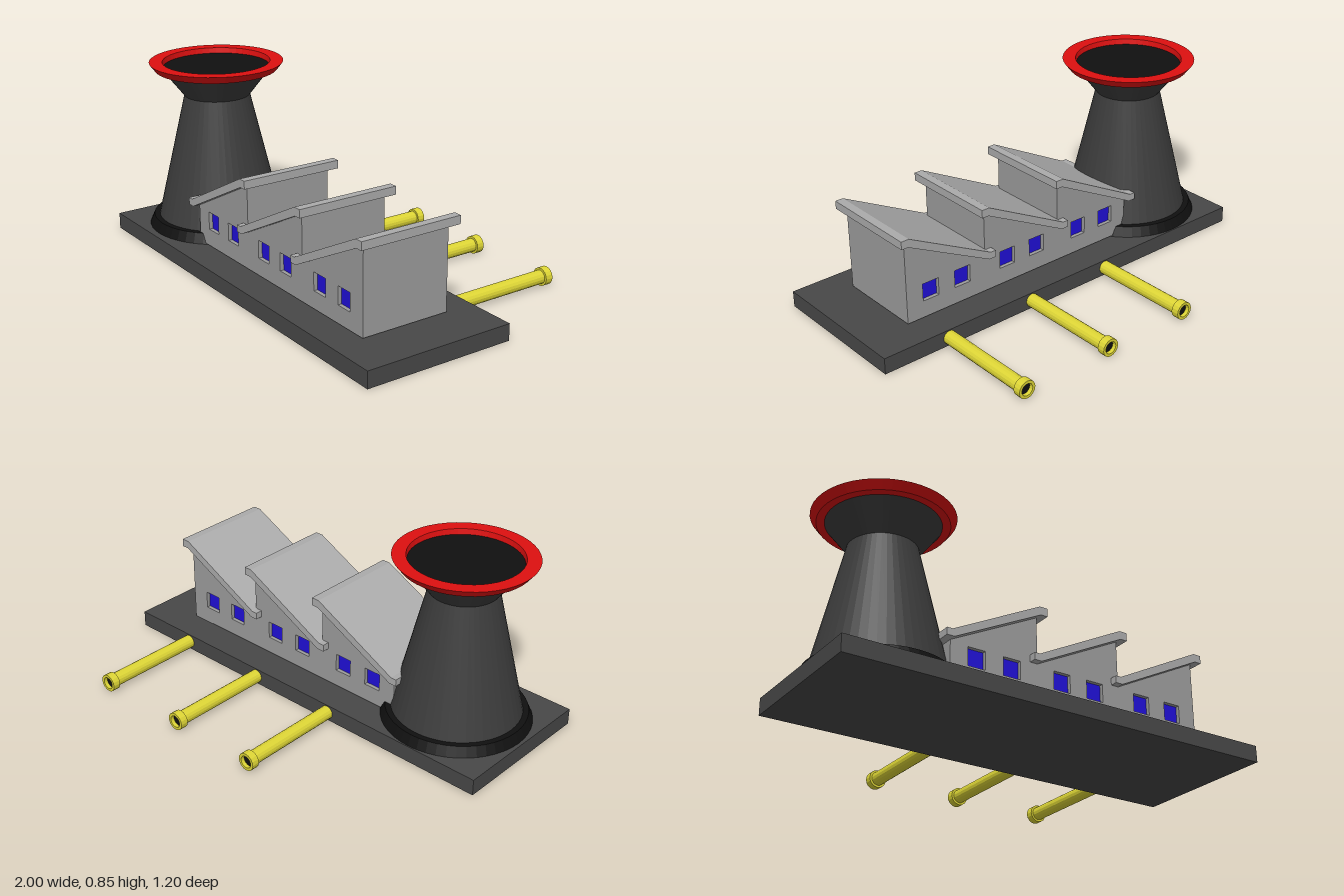
import * as THREE from 'three';

const mat = (color) => new THREE.MeshStandardMaterial({ color, flatShading: true });
const M = {
  base: mat(0x484848), wall: mat(0x9c9c9c), roof: mat(0xababab), tower: mat(0x3c3c3c),
  black: mat(0x101010), red: mat(0xdd1010), yellow: mat(0xddd535), blue: mat(0x2010d8),
};

function add(parent, name, geometry, material, x = 0, y = 0, z = 0) {
  const mesh = new THREE.Mesh(geometry, material);
  mesh.name = name;
  mesh.position.set(x, y, z);
  parent.add(mesh);
  return mesh;
}

const points = (list) => list.map(([x, y]) => new THREE.Vector2(x, y));
const lathe = (list, sides) => new THREE.LatheGeometry(points(list), sides);
const extrude = (shape, depth) => new THREE.ExtrudeGeometry(shape, { depth, bevelEnabled: false });

// Cooling tower: dark foot, waisted body, red rim around a black mouth
function makeTower() {
  const g = new THREE.Group();
  g.name = 'coolingTower';
  add(g, 'towerFoot', lathe([[0, 0.075], [0.33, 0.075], [0.31, 0.12], [0, 0.12]], 48), M.black);
  add(g, 'towerBody', lathe([[0.285, 0.12], [0.15, 0.69], [0.245, 0.812]], 48), M.tower);
  add(g, 'towerRim', lathe([[0.24, 0.81], [0.278, 0.81], [0.305, 0.845], [0.245, 0.845], [0.24, 0.81]], 48), M.red);
  add(g, 'towerMouth', new THREE.CircleGeometry(0.243, 48).rotateX(-Math.PI / 2), M.black, 0, 0.82, 0);
  g.position.set(-0.655, 0, 0.24);
  return g;
}

// One sawtooth bay, from x = 0 to x = 0.414, centred on z = 0
const BAY = 0.414, WINDOWS = [0.123, 0.29], WIN = 0.041, WIN_Y = 0.2;
function makeBay() {
  const g = new THREE.Group();
  g.name = 'factoryBay';
  const outline = () => new THREE.Shape(points([[0, 0.08], [BAY, 0.08], [BAY, 0.465], [0, 0.255]]));
  add(g, 'bayCore', extrude(outline(), 0.37), M.wall, 0, 0, -0.185);

  // Outer walls with window openings, front and back
  const pierced = outline();
  for (const x of WINDOWS) {
    pierced.holes.push(new THREE.Path(points([
      [x - WIN, WIN_Y - WIN], [x - WIN, WIN_Y + WIN], [x + WIN, WIN_Y + WIN], [x + WIN, WIN_Y - WIN],
    ])));
  }
  for (const side of [-1, 1]) {
    add(g, 'windowWall', extrude(pierced, 0.022), M.wall, 0, 0, side > 0 ? 0.185 : -0.207);
    for (const x of WINDOWS) {
      add(g, 'windowPane', new THREE.BoxGeometry(WIN * 2, WIN * 2, 0.006), M.blue, x, WIN_Y, side * 0.186);
    }
  }

  // Sloping roof slab with flat lips at both ends
  const roof = new THREE.Shape(points([
    [-0.035, 0.25], [0, 0.25], [BAY, 0.46], [BAY + 0.033, 0.46],
    [BAY + 0.033, 0.497], [BAY - 0.005, 0.497], [-0.008, 0.282], [-0.035, 0.282],
  ]));
  add(g, 'bayRoof', extrude(roof, 0.48), M.roof, 0, 0, -0.24);
  return g;
}

// Outlet pipe running backwards, ending in a hollow collar
function makePipe() {
  const g = new THREE.Group();
  g.name = 'outletPipe';
  add(g, 'pipeTube', new THREE.CylinderGeometry(0.031, 0.031, 0.48, 16), M.yellow, 0, 0.24, 0);
  add(g, 'pipeCollar', lathe([[0.028, 0.466], [0.041, 0.466], [0.041, 0.502], [0.028, 0.502], [0.028, 0.466]], 16), M.yellow);
  add(g, 'pipeMouth', new THREE.CircleGeometry(0.03, 16).rotateX(-Math.PI / 2), M.black, 0, 0.484, 0);
  g.rotation.x = -Math.PI / 2;
  return g;
}

export function createModel() {
  const model = new THREE.Group();
  model.name = 'powerPlant';
  add(model, 'groundSlab', new THREE.BoxGeometry(2, 0.075, 0.695), M.base, 0, 0.0375, 0.2525);
  model.add(makeTower());

  for (let i = 0; i < 3; i++) {
    const bay = makeBay();
    bay.position.set(-0.461 + i * BAY, 0, 0.254);
    model.add(bay);
  }
  for (const x of [-0.207, 0.226, 0.675]) {
    const pipe = makePipe();
    pipe.position.set(x, 0.042, -0.098);
    model.add(pipe);
  }
  return model;
}
